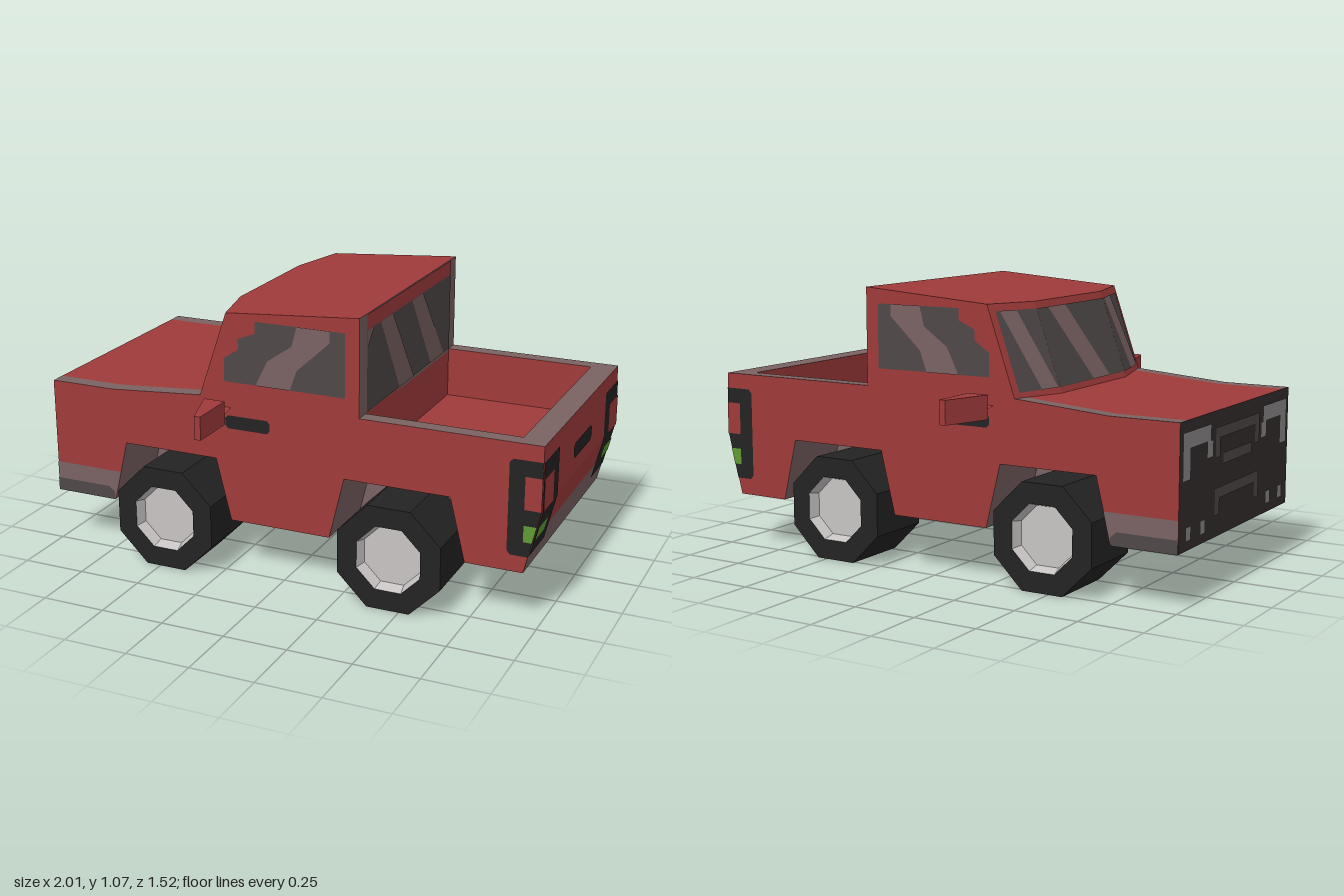
import * as THREE from 'three';

const mat = (name, color) => {
  const m = new THREE.MeshStandardMaterial({ color });
  m.name = name;
  return m;
};

export function createModel() {
  const red = mat('red paint', 0x9f3a3a);
  const trim = mat('grey trim', 0x7a6262);
  const dark = mat('black rubber', 0x232323);
  const glass = mat('glass', 0x4e4747);
  const under = mat('underside', 0x332d2d);
  const rimMat = mat('wheel rim', 0xc8c4c4);
  const green = mat('green lamp', 0x5f9a35);
  const lamp = mat('headlight grey', 0x8a8888);

  const truck = new THREE.Group();
  truck.name = 'pickupTruck';
  const add = (name, geo, material) => {
    const mesh = new THREE.Mesh(geo, material);
    mesh.name = name;
    truck.add(mesh);
    return mesh;
  };
  const triangulate = pts => THREE.ShapeUtils.triangulateShape(pts.map(p => new THREE.Vector2(p[0], p[1])), []);

  // Solid between two matching rings; one material per side edge, one per cap
  function loft(name, flat, ringA, ringB, edgeMats, capA, capB) {
    const pos = [], mats = [], geo = new THREE.BufferGeometry();
    const face = (tris, m) => {
      geo.addGroup(pos.length / 3, tris.length, mats.length);
      mats.push(m);
      tris.forEach(p => pos.push(...p));
    };
    ringA.forEach((a, i) => {
      const j = (i + 1) % ringA.length;
      face([a, ringA[j], ringB[j], a, ringB[j], ringB[i]], edgeMats[i]);
    });
    const caps = triangulate(flat);
    if (capA) face(caps.flatMap(t => [ringA[t[2]], ringA[t[1]], ringA[t[0]]]), capA);
    if (capB) face(caps.flatMap(t => t.map(k => ringB[k])), capB);
    geo.setAttribute('position', new THREE.Float32BufferAttribute(pos, 3));
    geo.computeVertexNormals();
    return add(name, geo, mats);
  }
  // Side profile [x, y, edge material] given depth along z
  const slab = (name, profile, z0, z1, capA, capB) => loft(name, profile,
    profile.map(p => [p[0], p[1], z0]), profile.map(p => [p[0], p[1], z1]), profile.map(p => p[2]), capA, capB);

  // Flat painted detail: 2D outline placed on a surface by map(u, v)
  function decal(name, material, pts, map, flip) {
    const pos = triangulate(pts).flatMap(t => (flip ? [t[2], t[1], t[0]] : t).flatMap(k => map(...pts[k])));
    const geo = new THREE.BufferGeometry();
    geo.setAttribute('position', new THREE.Float32BufferAttribute(pos, 3));
    geo.computeVertexNormals();
    add(name, geo, material);
  }
  const rect = (u0, v0, u1, v1) => [[u0, v0], [u1, v0], [u1, v1], [u0, v1]];
  const chamfered = (u0, v0, u1, v1, c) => [[u0 + c, v0], [u1 - c, v0], [u1, v0 + c], [u1, v1 - c],
    [u1 - c, v1], [u0 + c, v1], [u0, v1 - c], [u0, v0 + c]];

  // Body: centre, wheel-well layers and full-height outer walls
  const plainBottom = [[-1, 0.21, under]];
  const archedBottom = [[-1, 0.21, under],
    [-0.74, 0.21, trim], [-0.68, 0.455, trim], [-0.285, 0.455, trim], [-0.225, 0.21, under],
    [0.185, 0.21, trim], [0.245, 0.455, trim], [0.66, 0.455, trim], [0.72, 0.21, under]];
  const tail = [[0.94, 0.21, trim], [0.971, 0.335, red], [1, 0.455, red], [1, 0.7, trim]];
  const bed = [[0.905, 0.7, red], [0.905, 0.5, red], [0.305, 0.5, red]];
  const hood = m => [[0.305, 0.7, red], [-0.35, 0.7, m], [-0.73, 0.67, m], [-1, 0.67, under]];
  slab('bodyCentre', [...plainBottom, ...tail, ...bed, ...hood(red)], -0.2, 0.2, trim, trim);
  const mid = [...archedBottom, ...tail, ...bed, ...hood(red)];
  const outer = [...archedBottom, ...tail, ...hood(trim)];
  slab('leftInnerBody', mid, 0.2, 0.435);
  slab('rightInnerBody', mid, -0.435, -0.2);
  slab('leftBodySide', outer, 0.435, 0.495, red, red);
  slab('rightBodySide', outer, -0.495, -0.435, red, red);

  // Cab: plan outline (x, -z) lofted from the belt line to the sloping roof
  const plan = [[0.305, -0.495], [0.305, 0.495], [-0.35, 0.495], [-0.41, 0.26], [-0.41, -0.26], [-0.35, -0.495]];
  const base = plan.map(([x, v]) => [x, 0.69, -v]);
  const roof = plan.map(([x, v]) => {
    const tx = x > 0 ? x : x + 0.12;
    return [tx, 1.03 + (tx + 0.29) * 0.0756, -v];
  });
  loft('cab', plan, base, roof, [trim, red, red, red, red, red], null, red);

  // Windshield: three facets, each with glass and a reflection streak
  function facet(name, i, j, u0, u1, streak) {
    const [A, B, C, D] = [base[i], base[j], roof[j], roof[i]].map(p => new THREE.Vector3(...p));
    const n = B.clone().sub(A).cross(D.clone().sub(A)).normalize();
    const map = off => (u, v) => A.clone().lerp(B, u).lerp(D.clone().lerp(C, u), v).addScaledVector(n, off).toArray();
    decal(name, glass, rect(u0, 0.08, u1, 0.92), map(0.003));
    decal(name + 'Streak', trim, streak, map(0.005));
  }
  facet('windshieldCentre', 3, 4, 0, 1, [[0.5, 0.08], [0.75, 0.08], [0.4, 0.92], [0.15, 0.92]]);
  facet('windshieldLeft', 4, 5, 0, 0.88, [[0.45, 0.08], [0.85, 0.08], [0.45, 0.92], [0.05, 0.92]]);
  facet('windshieldRight', 2, 3, 0.12, 1, [[0.6, 0.08], [0.95, 0.08], [0.55, 0.92], [0.2, 0.92]]);

  // Rear window and roof edge
  const rearCab = off => (z, y) => [0.305 + off, y, z];
  decal('rearRoofEdge', red, rect(-0.43, 1.015, 0.43, 1.073), rearCab(0.003), true);
  decal('rearWindow', glass, rect(-0.43, 0.705, 0.43, 1.015), rearCab(0.003), true);
  [[[0.12, 0.705], [-0.03, 0.705], [0.19, 1.015], [0.31, 1.015]],
    [[-0.21, 0.705], [-0.36, 0.705], [-0.12, 1.015], [0, 1.015]],
    [[0.43, 0.95], [0.37, 1.015], [0.43, 1.015]]]
    .forEach(p => decal('rearWindowStreak', trim, p, rearCab(0.005), true));

  // Tailgate surface leans inward below its crease
  const rear = off => (z, y) => [Math.min(1, 1 - (0.455 - y) * 0.245) + off, y, z];
  const nose = off => (z, y) => [-1 - off, y, z];
  decal('tailgateHandle', dark, chamfered(-0.12, 0.52, 0.12, 0.58, 0.015), rear(0.003), true);

  // Grille bars
  [[-0.17, 0.57, 0.17, 0.61], [-0.13, 0.47, 0.13, 0.51], [-0.17, 0.35, 0.17, 0.39],
    [-0.2, 0.29, -0.16, 0.39], [0.16, 0.29, 0.2, 0.39], [-0.2, 0.5, -0.16, 0.61], [0.16, 0.5, 0.2, 0.61]]
    .forEach(r => decal('grilleBar', glass, rect(...r), nose(0.003)));

  for (const s of [1, -1]) {
    const side = s > 0 ? 'left' : 'right';
    const wall = off => (x, y) => [x, y, s * (0.495 + off)];
    const onSide = (name, m, pts, off = 0.003) => decal(side + name, m, pts, wall(off), s < 0);
    const onRear = (name, m, r, off) => decal(side + name, m, rect(s * r[0], r[1], s * r[2], r[3]), rear(off), true);

    // Side window with reflection
    onSide('SideWindow', glass, [[-0.24, 0.77], [0.25, 0.77], [0.25, 1.015], [-0.11, 1.015],
      [-0.11, 0.97], [-0.18, 0.94], [-0.18, 0.9], [-0.24, 0.86]]);
    onSide('SideWindowStreak', trim, [[-0.11, 0.77], [0.03, 0.77], [0.06, 0.85], [0.19, 0.97], [0.19, 1.015],
      [0.06, 1.015], [0.04, 0.94], [-0.06, 0.87]], 0.005);
    onSide('DoorHandle', dark, chamfered(-0.24, 0.585, -0.055, 0.637, 0.012));

    // Front lower bumper wrap
    onSide('BumperWrap', trim, [[-1, 0.21], [-0.74, 0.21], [-0.711, 0.33], [-1, 0.33]]);
    onSide('BumperPatch', glass, [[-1, 0.21], [-0.74, 0.21], [-0.74, 0.24], [-0.765, 0.262], [-1, 0.262]], 0.005);

    // Tail light wrapping the rear corner
    onSide('TailLightFrame', dark, [[0.89, 0.275], [0.956, 0.275], [1, 0.455], [1, 0.64], [0.89, 0.64],
      [0.877, 0.625], [0.877, 0.29]]);
    onSide('TailLightRed', red, rect(0.937, 0.455, 1, 0.58), 0.005);
    onSide('TailLightGreen', green, [[0.937, 0.332], [0.97, 0.332], [0.985, 0.395], [0.937, 0.395]], 0.005);
    onRear('TailLightFrame', dark, [0.315, 0.455, 0.495, 0.64], 0.003);
    onRear('TailLightFrameLower', dark, [0.315, 0.28, 0.495, 0.455], 0.003);
    onRear('TailLightRed', red, [0.372, 0.455, 0.495, 0.58], 0.006);
    onRear('TailLightGreen', green, [0.372, 0.338, 0.495, 0.397], 0.006);

    // Headlight brackets and small lower lamps
    [[0.24, 0.57, 0.47, 0.63], [0.41, 0.46, 0.47, 0.57], [0.22, 0.51, 0.27, 0.57],
      [0.4, 0.245, 0.44, 0.295], [0.28, 0.245, 0.32, 0.295]]
      .forEach(r => decal(side + 'Headlight', lamp, rect(s * r[0], r[1], s * r[2], r[3]), nose(0.003)));

    // Wing mirror: tapering stem and wedge-shaped housing
    const prism = (name, pts, y0, y1) => {
      const p = pts.map(([x, z]) => [x, -s * z]);
      if (s < 0) p.reverse();
      const ring = y => p.map(([x, v]) => [x, y, -v]);
      loft(side + name, p, ring(y0), ring(y1), p.map(() => red), red, red);
    };
    prism('MirrorStem', [[-0.2, 0.575], [-0.22, 0.48], [-0.25, 0.48], [-0.285, 0.575]].reverse(), 0.635, 0.668);
    prism('MirrorHousing', [[-0.285, 0.575], [-0.225, 0.762], [-0.2, 0.762], [-0.2, 0.575]], 0.63, 0.72);

    // Octagonal wheels with dished rims
    const outerZ = s > 0 ? 0.577 : 0.515;
    const turned = points => {
      const g = new THREE.LatheGeometry(points.map(p => new THREE.Vector2(...p)), 8).toNonIndexed();
      g.computeVertexNormals();
      return g.rotateY(Math.PI / 8).rotateX(s * Math.PI / 2);
    };
    for (const [end, x] of [['Front', -0.473], ['Rear', 0.456]]) {
      const tyre = add(side + end + 'Tyre', turned([[0, -0.283], [0.219, -0.283], [0.219, 0], [0.135, 0]]), dark);
      const rim = add(side + end + 'Rim', turned([[0.135, 0], [0.12, -0.045], [0, -0.045]]), rimMat);
      for (const m of [tyre, rim]) m.position.set(x, 0.2035, s * outerZ);
    }
  }
  return truck;
}
